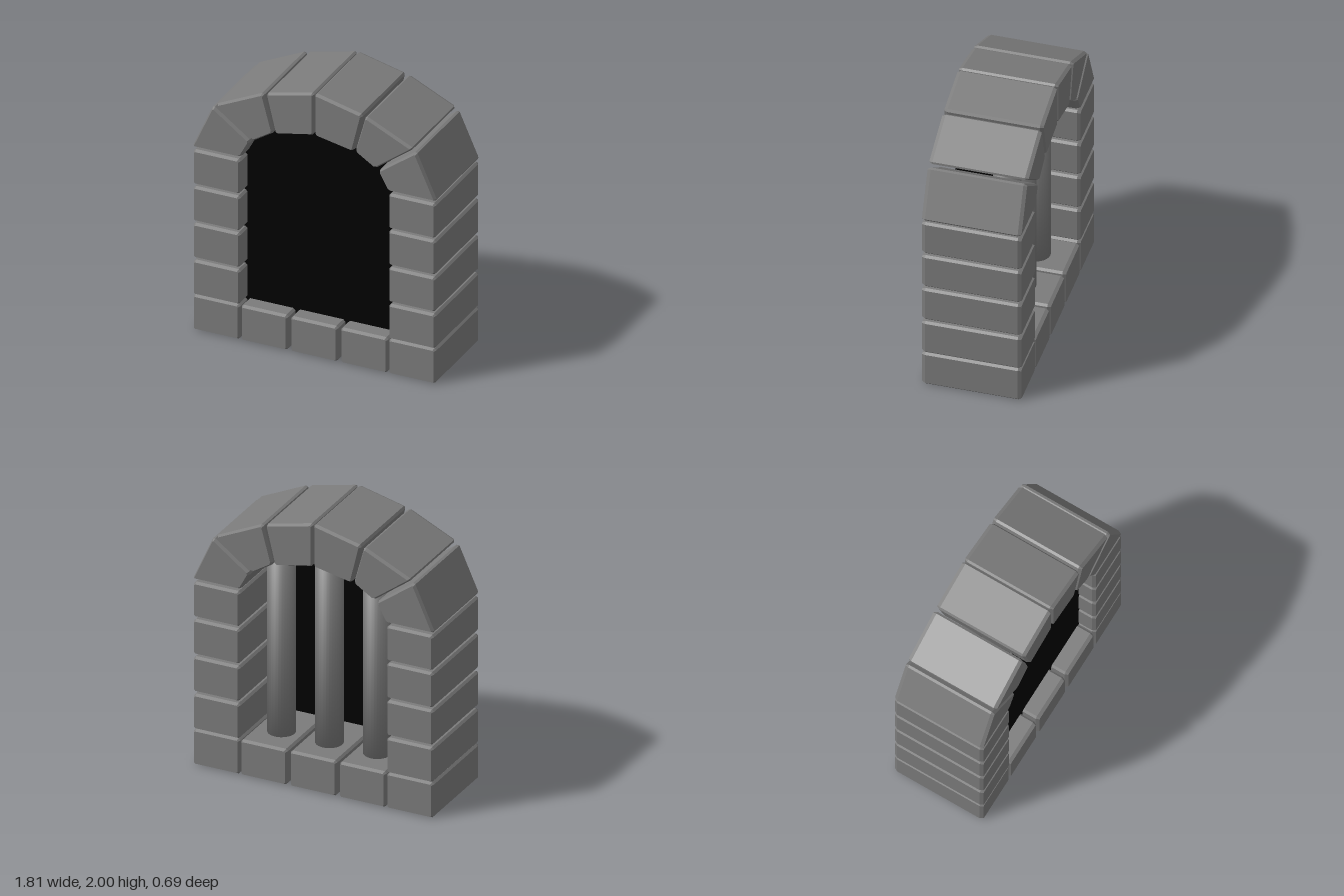
import * as THREE from 'three';

const DEPTH = 0.694, BEVEL = 0.012, BEVEL_Z = 0.024, CHAMFER = 0.015;
const stoneMat = new THREE.MeshStandardMaterial({ color: 0x7b7b7b, flatShading: true });
const barMat = new THREE.MeshStandardMaterial({ color: 0x7b7b7b });
const darkMat = new THREE.MeshStandardMaterial({ color: 0x000000, side: THREE.DoubleSide });

// Cuts every corner of an outline by a small distance along both edges
function chamferedShape(corners) {
  const pts = corners.map(([x, y]) => new THREE.Vector2(x, y));
  const n = pts.length, out = [];
  pts.forEach((p, i) => {
    for (const q of [pts[(i + n - 1) % n], pts[(i + 1) % n]]) {
      out.push(p.clone().add(q.clone().sub(p).setLength(CHAMFER)));
    }
  });
  return new THREE.Shape(out);
}

// Stone block with all edges bevelled, running through the wall depth
function stone(name, corners) {
  const geo = new THREE.ExtrudeGeometry(chamferedShape(corners), {
    depth: DEPTH - 2 * BEVEL_Z, bevelEnabled: true, bevelSegments: 1,
    bevelSize: BEVEL, bevelOffset: -BEVEL, bevelThickness: BEVEL_Z,
  });
  geo.translate(0, 0, -DEPTH / 2 + BEVEL_Z);
  const mesh = new THREE.Mesh(geo, stoneMat);
  mesh.name = name;
  return mesh;
}

// Round bar whose normals lean outward at both ends, for soft shading along its length
function roundBar(radius, bottom, top) {
  const geo = new THREE.CylinderGeometry(radius, radius, top - bottom, 32);
  const { position, normal } = geo.attributes;
  const v = new THREE.Vector3();
  for (let i = 0; i < position.count; i++) {
    v.fromBufferAttribute(position, i);
    v.set(v.x / radius, 0.7 * Math.sign(v.y), v.z / radius).normalize();
    normal.setXYZ(i, v.x, v.y, v.z);
  }
  const bar = new THREE.Mesh(geo, barMat);
  bar.name = 'bar';
  bar.position.y = (top + bottom) / 2;
  return bar;
}

const rect = (x0, x1, y0, y1) => [[x0, y0], [x1, y0], [x1, y1], [x0, y1]];

export function createModel() {
  const model = new THREE.Group();
  model.name = 'barredArchWindow';

  // Sill: five blocks in a row
  const sill = new THREE.Group();
  sill.name = 'sill';
  for (const x of [-0.728, -0.371, 0, 0.371, 0.728]) {
    sill.add(stone('sillStone', rect(x - 0.175, x + 0.175, 0, 0.265)));
  }
  model.add(sill);

  // Arch stones of the left half, from the jamb up to the crown
  const archStones = [
    [[0.548, 1.388], [0.91, 1.388], [0.755, 1.732], [0.474, 1.525]],
    [[0.453, 1.536], [0.737, 1.748], [0.38, 1.916], [0.302, 1.632]],
    [[0.289, 1.626], [0.36, 1.919], [0.003, 2.004], [0.003, 1.683]],
  ];

  for (const side of [1, -1]) {
    const prefix = side > 0 ? 'left' : 'right';

    // Jamb: four stacked blocks
    const jamb = new THREE.Group();
    jamb.name = prefix + 'Jamb';
    for (let i = 0; i < 4; i++) {
      const y = 0.266 + i * 0.28;
      const x = 0.727 * side;
      jamb.add(stone('jambStone', rect(x - 0.175, x + 0.175, y, y + 0.262)));
    }
    model.add(jamb);

    // Half arch: mirrored outlines keep their winding by reversing the order
    const arch = new THREE.Group();
    arch.name = prefix + 'Arch';
    for (const corners of archStones) {
      const pts = corners.map(([x, y]) => [x * side, y]);
      arch.add(stone('archStone', side > 0 ? pts : pts.reverse()));
    }
    model.add(arch);
  }

  // Upright round bars set into the sill and the arch
  const bars = new THREE.Group();
  bars.name = 'bars';
  for (const i of [-1, 0, 1]) {
    const bar = roundBar(0.097, 0.19, i === 0 ? 1.76 : 1.68);
    bar.position.x = i * 0.36;
    bar.position.z = -0.097;
    bars.add(bar);
  }
  model.add(bars);

  // Thin dark panel closing the opening
  const outline = [[0.595, 0.19], [0.595, 1.4], [0.507, 1.57], [0.308, 1.695], [0, 1.76]];
  const mirrored = outline.slice(0, -1).reverse().map(([x, y]) => [-x, y]);
  const shape = new THREE.Shape([...outline, ...mirrored].map(([x, y]) => new THREE.Vector2(x, y)));
  const panel = new THREE.Mesh(new THREE.ShapeGeometry(shape), darkMat);
  panel.name = 'darkPanel';
  panel.position.z = 0.22;
  model.add(panel);

  return model;
}
